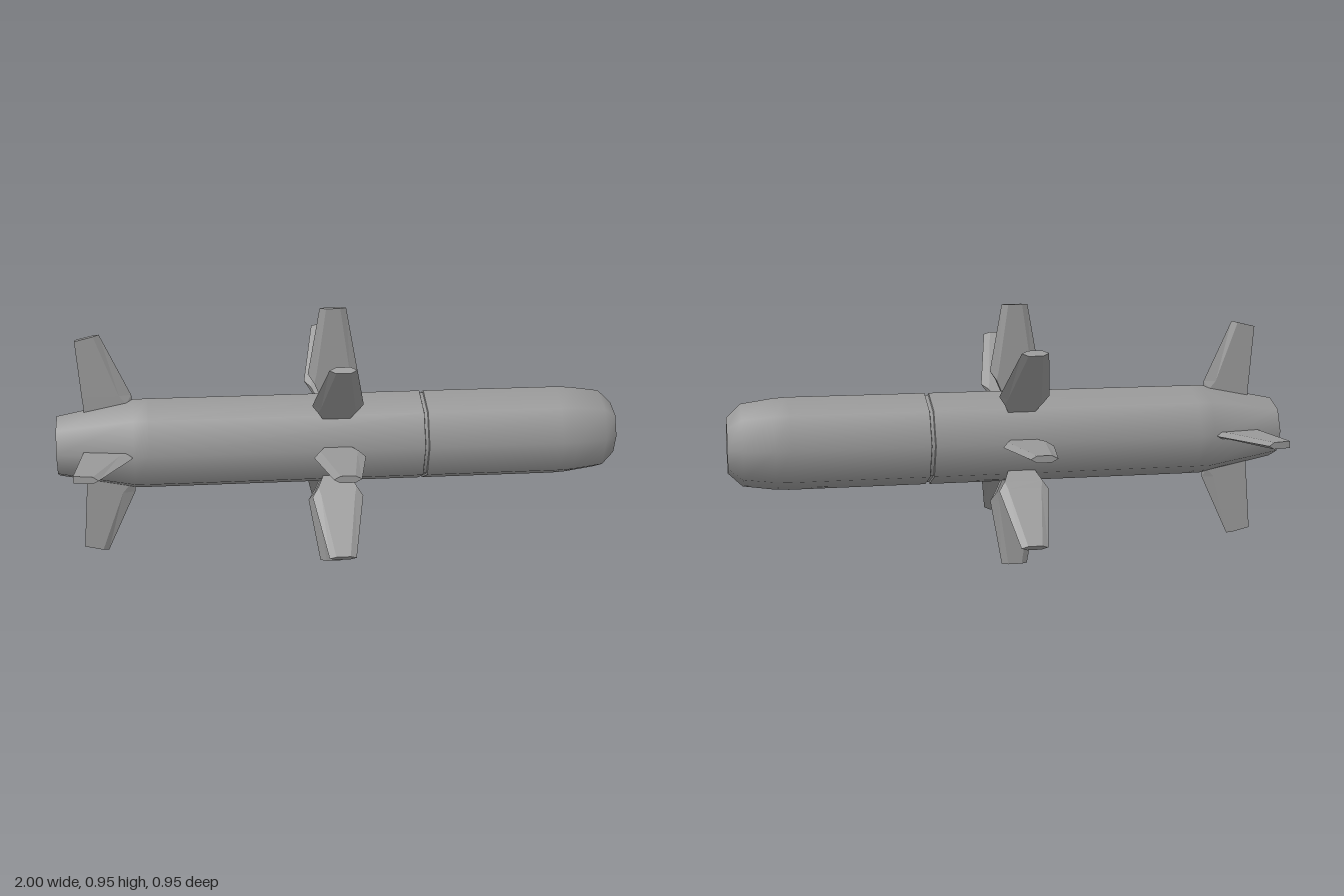
import * as THREE from 'three';

const AXIS_Y = 0.475;
const smooth = new THREE.MeshStandardMaterial({ color: 0x999999 });
const flat = new THREE.MeshStandardMaterial({ color: 0x999999, flatShading: true });

// Eight-sided turned part lying along x; profile is [x, radius] from tail to nose
function turned(name, profile, material = smooth) {
  const points = profile.map(([x, r]) => new THREE.Vector2(r, x));
  const geometry = new THREE.LatheGeometry(points, 8);
  geometry.normalizeNormals();
  const mesh = new THREE.Mesh(geometry, material);
  mesh.rotation.z = -Math.PI / 2;
  mesh.name = name;
  return mesh;
}

// Fin growing along +y, lofted through six-sided sections.
// Section: [height at back, height at front, back edge, back of flat, front of flat, front edge]
function finGeometry(sections, half) {
  const positions = [];
  const index = [];
  for (const [yBack, yFront, b, bf, ff, f] of sections) {
    const ring = [[b, 0], [bf, half], [ff, half], [f, 0], [ff, -half], [bf, -half]];
    for (const [x, z] of ring) {
      positions.push(x, yBack + (yFront - yBack) * (x - b) / (f - b), z);
    }
  }
  for (let s = 0; s < sections.length - 1; s++) {
    for (let i = 0; i < 6; i++) {
      const a = s * 6 + i, c = s * 6 + (i + 1) % 6;
      // Diagonals mirror about the fin's mid-plane
      if (i % 3 === 0) index.push(a, c, a + 6, c, c + 6, a + 6);
      else index.push(a, c, c + 6, a, c + 6, a + 6);
    }
  }
  const top = (sections.length - 1) * 6;
  for (let i = 1; i < 5; i++) {
    index.push(top, top + i, top + i + 1);
    index.push(0, i + 1, i);
  }
  const geometry = new THREE.BufferGeometry();
  geometry.setAttribute('position', new THREE.Float32BufferAttribute(positions, 3));
  geometry.setIndex(index);
  const faceted = geometry.toNonIndexed();
  faceted.computeVertexNormals();
  return faceted;
}

// Evenly spaced fins around the body
function finRing(name, geometry, count) {
  const ring = new THREE.Group();
  ring.name = name + 's';
  for (let i = 0; i < count; i++) {
    const fin = new THREE.Mesh(geometry, flat);
    fin.name = name;
    fin.rotation.x = i * 2 * Math.PI / count;
    ring.add(fin);
  }
  return ring;
}

export function createModel() {
  const model = new THREE.Group();
  model.name = 'missile';
  const body = new THREE.Group();
  body.name = 'body';
  body.position.y = AXIS_Y;
  model.add(body);

  // Hull, joint groove and rounded nose
  body.add(
    turned('tailCap', [[-1, 0], [-1, 0.11]], flat),
    turned('rearHull', [[-1, 0.11], [-0.73, 0.164], [-0.68, 0.165], [0.29, 0.165]]),
    turned('grooveRearWall', [[0.29, 0.165], [0.292, 0.158]], flat),
    turned('grooveFloor', [[0.292, 0.158], [0.303, 0.158]]),
    turned('grooveFrontWall', [[0.303, 0.158], [0.305, 0.165]], flat),
    turned('noseSection', [[0.305, 0.165], [0.79, 0.165], [0.84, 0.162], [0.95, 0.146], [1, 0.098]]),
    turned('seekerRim', [[1, 0.098], [0.985, 0.08]], flat),
    turned('seekerWindow', [[0.985, 0.08], [0.985, 0]], flat)
  );

  // Mid-body wings: blunt at the root, sharp-edged from the widest point out
  const wing = [[0.14, 0.04, 0.04], [0.205, 0.068, 0.068], [0.237, 0.09, 0.06], [0.475, 0.047, 0.025]]
    .map(([y, edge, band]) => [y, y, -0.022 - edge, -0.022 - band, -0.022 + band, -0.022 + edge]);
  body.add(finRing('wing', finGeometry(wing, 0.012), 8));

  // Tail fins: blunt trailing edge, bevelled leading edge, slanted tip
  const tail = [
    [0.09, 0.09, -0.903, -0.903, -0.735, -0.735],
    [0.15, 0.15, -0.906, -0.906, -0.755, -0.735],
    [0.18, 0.18, -0.909, -0.909, -0.78, -0.737],
    [0.38, 0.4, -0.925, -0.925, -0.86, -0.84],
  ];
  body.add(finRing('tailFin', finGeometry(tail, 0.012), 4));

  return model;
}
